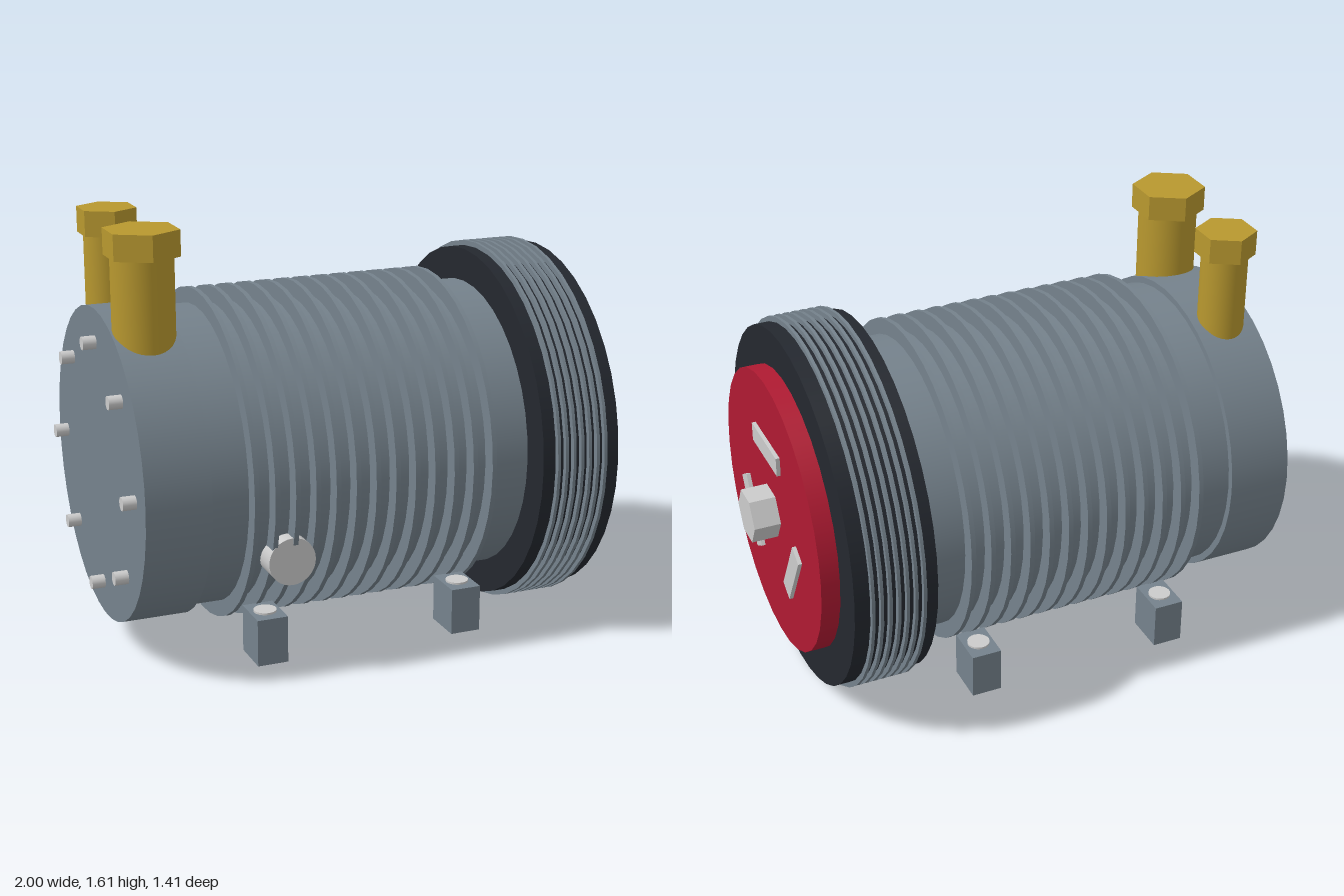
import * as THREE from 'three';

const AXIS_Y = 0.706; // height of the main axis

const mat = (color, flatShading = false) => new THREE.MeshStandardMaterial({ color, flatShading });
const slate = mat(0x75828c);
const dark = mat(0x24282f);
const red = mat(0xb01a32);
const brass = mat(0xb8982f);
const brassFlat = mat(0xb8982f, true);
const steel = mat(0xcccccc);
const steelFlat = mat(0xcccccc, true);

export function createModel() {
  const model = new THREE.Group();

  const add = (name, geometry, material, x, y, z, parent = model) => {
    const mesh = new THREE.Mesh(geometry, material);
    mesh.name = name;
    mesh.position.set(x, y, z);
    parent.add(mesh);
    return mesh;
  };

  // Cylinder lying along x between x0 and x1
  const disc = (name, r, x0, x1, material, sides = 40, y = AXIS_Y, z = 0) =>
    add(name, new THREE.CylinderGeometry(r, r, x1 - x0, sides).rotateZ(-Math.PI / 2), material, (x0 + x1) / 2, y, z);

  // Upright cylinder between y0 and y1
  const post = (name, r, y0, y1, material, sides, x, z, parent) =>
    add(name, new THREE.CylinderGeometry(r, r, y1 - y0, sides), material, x, (y0 + y1) / 2, z, parent);

  // Housing and rear head
  disc('housing', 0.56, -0.72, 0.53, slate);
  disc('rearHead', 0.585, -0.95, -0.71, slate);

  // Cooling fins
  for (let i = 0; i < 13; i++) {
    const x = -0.56 + i * 0.0763;
    disc('coolingFin', 0.62, x - 0.009, x + 0.009, slate);
  }

  // Pulley with belt ridges
  disc('pulley', 0.685, 0.52, 0.83, dark);
  for (let i = 0; i < 7; i++) {
    const x = 0.575 + i * 0.032;
    disc('beltRidge', 0.705, x - 0.006, x + 0.006, slate);
  }

  // Clutch plate, centre nut and three radial-symmetric bars
  disc('clutchPlate', 0.54, 0.83, 0.9, red, 32);
  disc('centreNut', 0.1, 0.89, 1, steelFlat, 6);
  for (let i = 0; i < 3; i++) {
    const a = (i * Math.PI * 2) / 3;
    const bar = add('clutchBar', new THREE.BoxGeometry(0.03, 0.073, 0.28), steel,
      0.9, AXIS_Y + 0.267 * Math.cos(a), 0.267 * Math.sin(a));
    bar.rotation.x = a;
  }

  // Ring of rear bolts
  for (let i = 0; i < 8; i++) {
    const a = (i * Math.PI) / 4;
    disc('rearBolt', 0.025, -1, -0.94, steel, 16, AXIS_Y + 0.46 * Math.cos(a), 0.46 * Math.sin(a));
  }

  // Two hose ports with hexagonal caps
  for (const [name, z, stemR, capR] of [['largePort', 0.22, 0.113, 0.139], ['smallPort', -0.223, 0.088, 0.113]]) {
    const port = new THREE.Group();
    port.name = name;
    post('portStem', stemR, 1.05, 1.53, brass, 32, -0.83, z, port);
    post('portCap', capR, 1.517, 1.612, brassFlat, 6, -0.83, z, port);
    model.add(port);
  }

  // Round plug on the front side
  const plug = add('sidePlug', new THREE.CylinderGeometry(0.088, 0.088, 0.2, 32), steel, -0.42, 0.455, 0.49);
  plug.rotation.x = Math.PI / 2;

  // Mounting feet with vertical bolts
  for (const x of [-0.485, 0.28]) {
    for (const side of [1, -1]) {
      const foot = new THREE.Group();
      foot.name = 'mountingFoot';
      add('footBlock', new THREE.BoxGeometry(0.115, 0.175, 0.16), slate, x, 0.148, side * 0.477, foot);
      post('footBolt', 0.042, 0.055, 0.243, steel, 24, x, side * 0.477, foot);
      model.add(foot);
    }
  }

  return model;
}
